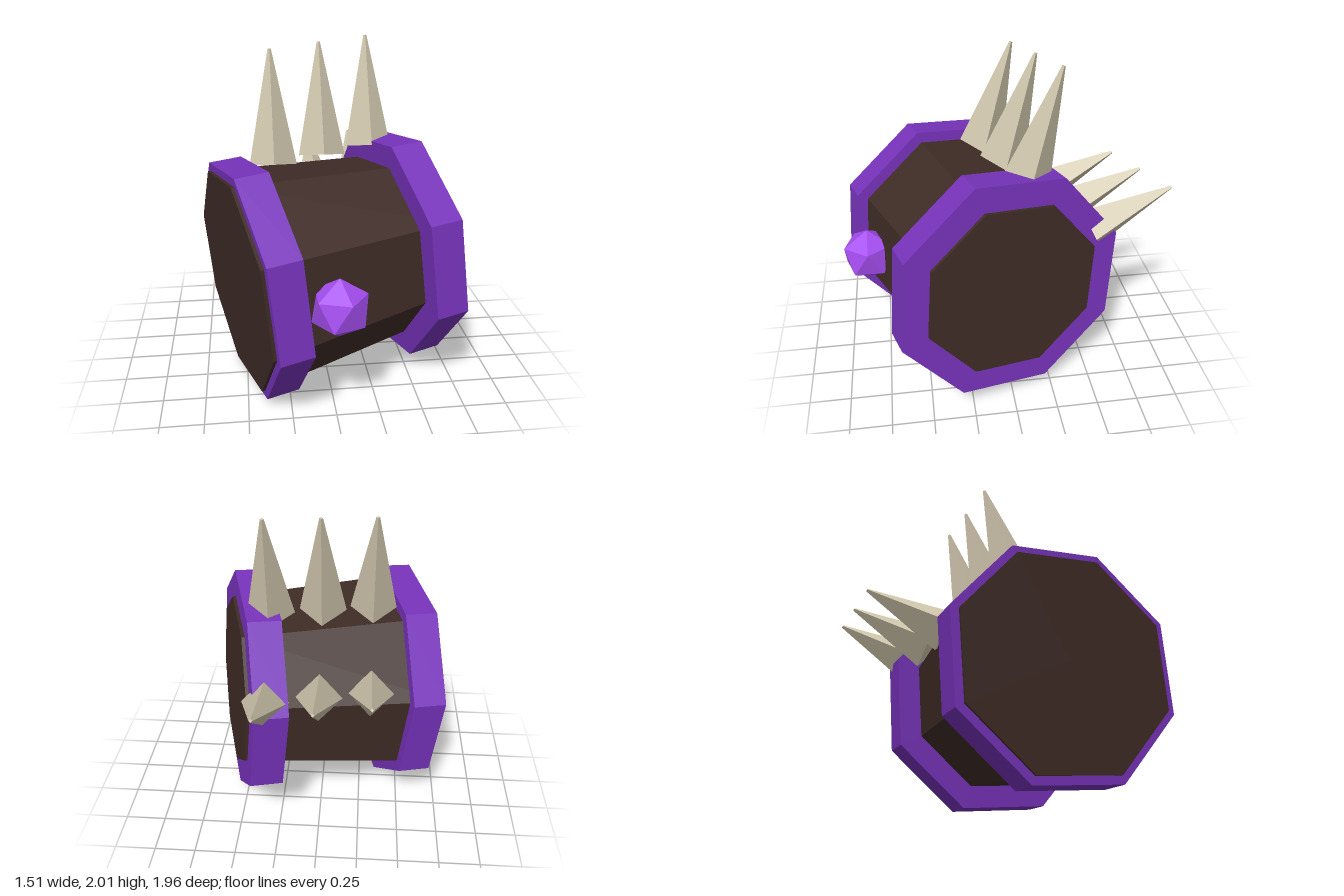
import * as THREE from 'three';

const V = (x, y, z) => new THREE.Vector3(x, y, z);
const paint = (color) => new THREE.MeshStandardMaterial({ color, flatShading: true });

export function createModel() {
  const model = new THREE.Group();
  const wood = paint(0x3e2b25);
  const band = paint(0x7733bb);
  const bone = paint(0xcfc5ac);
  const crystal = paint(0xa54df0);

  const add = (parent, name, geometry, material) => {
    const mesh = new THREE.Mesh(geometry, material);
    mesh.name = name;
    parent.add(mesh);
    return mesh;
  };

  // Tilted frame: local y runs along the barrel, local z points at an octagon corner
  const leftEnd = V(-0.535, 0.677, 0.323);
  const rightEnd = V(0.553, 0.765, 0);
  const axis = rightEnd.clone().sub(leftEnd);
  const length = axis.length();
  axis.normalize();
  const side = axis.clone().cross(V(0, 0.685, 0.21)).normalize();
  const corner = side.clone().cross(axis);
  const barrel = new THREE.Group();
  barrel.name = 'barrel';
  barrel.position.copy(leftEnd).add(rightEnd).multiplyScalar(0.5);
  barrel.quaternion.setFromRotationMatrix(new THREE.Matrix4().makeBasis(side, axis, corner));
  model.add(barrel);

  // Tapered eight-sided body, its ends standing slightly proud of the bands
  add(barrel, 'barrelBody', new THREE.CylinderGeometry(0.55, 0.665, length + 0.04, 8), wood);

  // Wide band at each end
  const bandWidth = 0.197;
  for (const s of [-1, 1]) {
    const ring = add(barrel, s < 0 ? 'wideEndBand' : 'narrowEndBand',
      new THREE.CylinderGeometry(0.715, 0.715, bandWidth, 8), band);
    ring.position.y = s * (length - bandWidth) / 2;
  }

  // Two rows of four-sided spikes, stepping along the barrel
  const step = V(0.3, 0.025, -0.093);
  const spikeRow = (name, base, tip, radius) => {
    const direction = tip.clone().sub(base);
    const height = direction.length();
    direction.normalize();
    const geometry = new THREE.CylinderGeometry(0.01, radius, height, 4);
    for (let i = -1; i <= 1; i++) {
      const spike = add(model, name, geometry, bone);
      spike.position.copy(base).add(tip).multiplyScalar(0.5).addScaledVector(step, i);
      spike.quaternion.setFromUnitVectors(V(0, 1, 0), direction);
    }
  };
  spikeRow('topSpike', V(0, 1.322, -0.018), V(0, 1.975, -0.203), 0.14);
  spikeRow('backSpike', V(0, 0.96, -0.415), V(0, 1.2, -0.885), 0.137);

  // Faceted gem on the front, one point straight up
  const gemGeometry = new THREE.IcosahedronGeometry(0.17, 0);
  gemGeometry.rotateX(-Math.atan((1 + Math.sqrt(5)) / 2));
  gemGeometry.rotateY(Math.PI / 10);
  add(model, 'gem', gemGeometry, crystal).position.set(0, 0.727, 0.83);

  return model;
}
